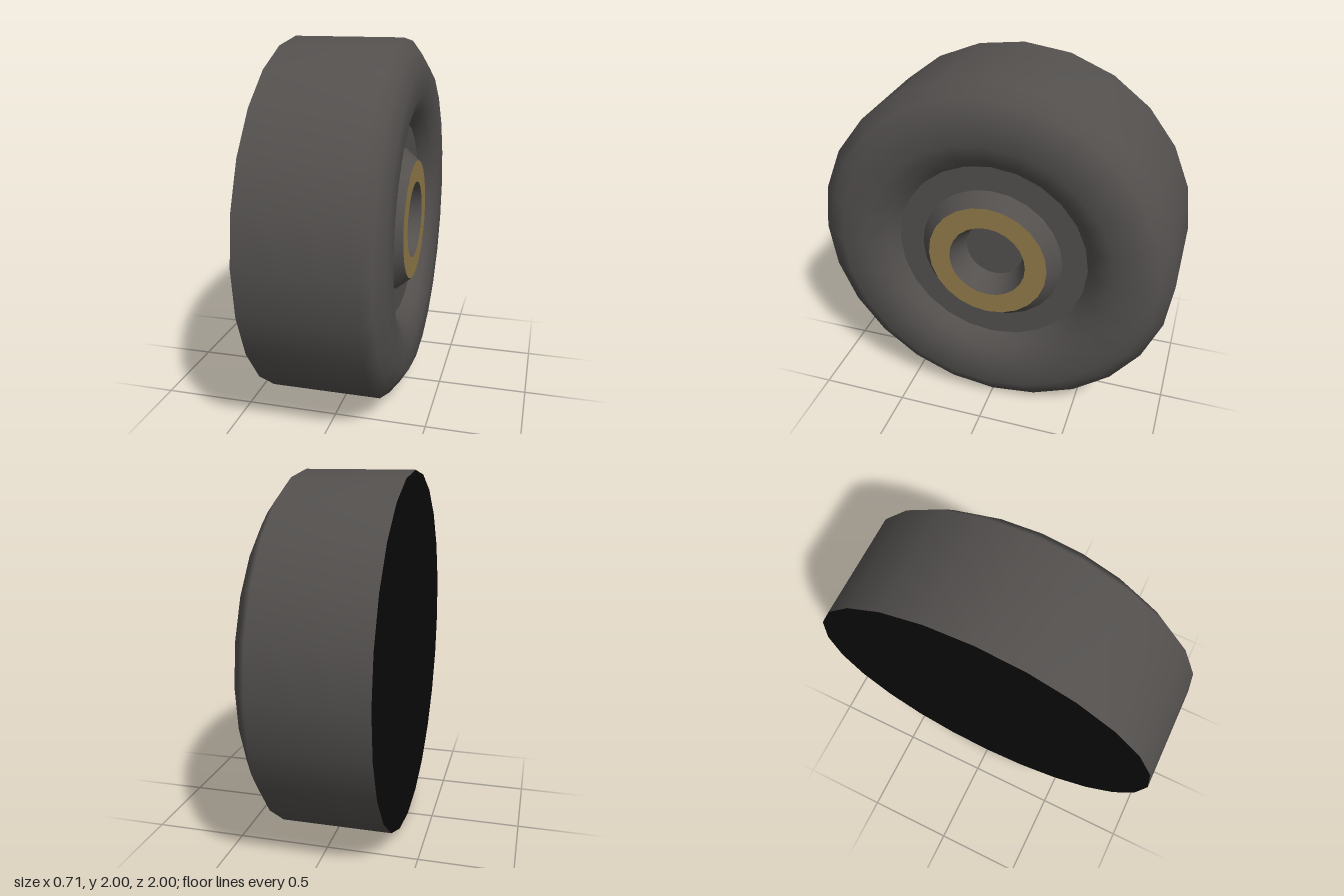
import * as THREE from 'three';

const SIDES = 24;

function material(name, color) {
  const m = new THREE.MeshStandardMaterial({ color });
  m.name = name;
  return m;
}

// Revolve [radius, distance along axle] points; the axle runs along x
function ring(name, points, mat) {
  const profile = points.map(([r, d]) => new THREE.Vector2(r, d));
  const geometry = new THREE.LatheGeometry(profile, SIDES);
  geometry.rotateZ(-Math.PI / 2);
  const mesh = new THREE.Mesh(geometry, mat);
  mesh.name = name;
  return mesh;
}

export function createModel() {
  const rubber = material('dark grey', 0x53504e);
  const brass = material('dull brass', 0x917a4a);
  const black = material('black', 0x0a0a0a);

  const wheel = new THREE.Group();
  wheel.name = 'wheel';
  wheel.add(
    // Tread, rounded shoulder and sidewall share smooth normals
    ring('tyre', [[1, -0.355], [1, 0.25], [0.93, 0.305], [0.85, 0.355], [0.7, 0.355], [0.6, 0.315], [0.54, 0.25]], rubber),
    ring('innerCap', [[0, -0.355], [1, -0.355]], black),
    // Hub, from its outer rim in to the floor of the axle hole
    ring('hubPlate', [[0.54, 0.25], [0.4, 0.25]], rubber),
    ring('hubBoss', [[0.4, 0.25], [0.335, 0.33]], rubber),
    ring('hubRing', [[0.335, 0.33], [0.215, 0.33]], brass),
    ring('axleHoleWall', [[0.215, 0.33], [0.165, 0.19]], rubber),
    ring('axleHoleFloor', [[0.165, 0.19], [0, 0.19]], rubber),
  );
  wheel.position.y = 1;

  const model = new THREE.Group();
  model.name = 'wheelModel';
  model.add(wheel);
  return model;
}
